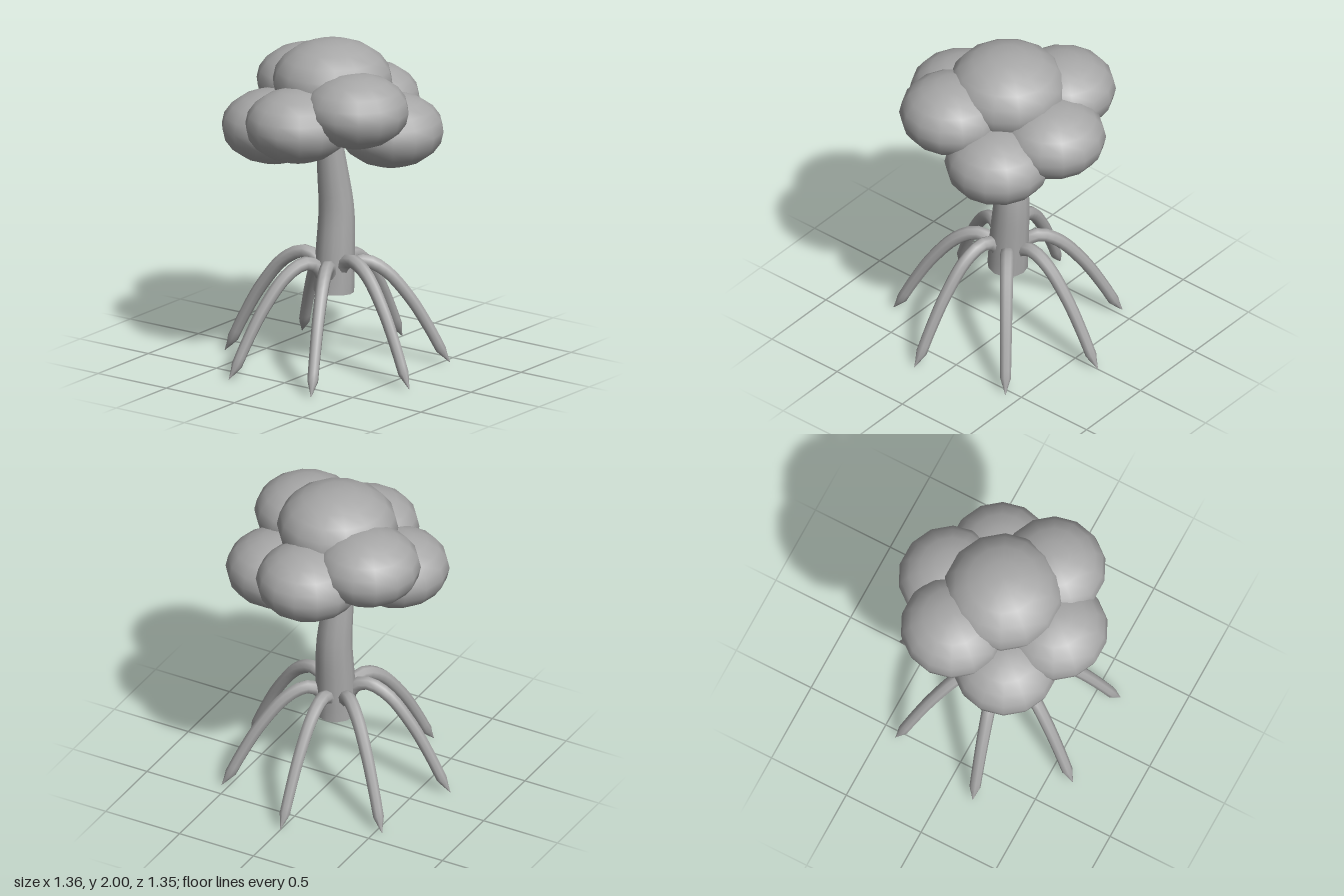
import * as THREE from 'three';
import { mergeVertices } from 'three/addons/utils/BufferGeometryUtils.js';

// Tube along a smooth curve; radius(t) sets its thickness from start (0) to end (1)
function taperedTube(points, steps, sides, radius) {
  const curve = new THREE.CatmullRomCurve3(points);
  const geo = new THREE.TubeGeometry(curve, steps, 1, sides);
  const pos = geo.attributes.position;
  const v = new THREE.Vector3();
  for (let i = 0; i < pos.count; i++) {
    const t = Math.floor(i / (sides + 1)) / steps;
    const c = curve.getPointAt(t);
    v.fromBufferAttribute(pos, i).sub(c).multiplyScalar(radius(t)).add(c);
    pos.setXYZ(i, v.x, v.y, v.z);
  }
  // weld the seam so that shading stays smooth all round
  geo.deleteAttribute('uv');
  geo.deleteAttribute('normal');
  const welded = mergeVertices(geo, 1e-5);
  welded.computeVertexNormals();
  return welded;
}

export function createModel() {
  const group = new THREE.Group();
  const grey = new THREE.MeshStandardMaterial({ color: 0xa8a8a8 });
  grey.name = 'plain grey';
  const centreZ = 0.02;

  const add = (name, geo, parent = group) => {
    const mesh = new THREE.Mesh(geo, grey);
    mesh.name = name;
    parent.add(mesh);
    return mesh;
  };

  // Canopy: a top lobe and a ring of six at three repeating heights
  const canopy = new THREE.Group();
  canopy.name = 'canopy';
  group.add(canopy);
  const lobe = (name, x, y, z, r) => {
    const mesh = add(name, new THREE.SphereGeometry(r, 14, 10), canopy);
    mesh.scale.y = 0.7;
    mesh.position.set(x, y, z);
  };
  lobe('topLobe', 0, 1.748, centreZ, 0.36);
  for (let i = 0; i < 6; i++) {
    const a = (i * 60 + 30) * Math.PI / 180;
    lobe('canopyLobe', Math.cos(a) * 0.348, 1.66 - 0.1 * (i % 3), centreZ + Math.sin(a) * 0.348, 0.315);
  }

  // Trunk: gently bent and tapering, closed below
  const trunkPoints = [
    [0.005, 0.45, 0.015], [0.005, 0.7, 0], [0.003, 0.95, -0.014], [-0.01, 1.2, 0.008], [-0.022, 1.5, 0.045],
  ].map(p => new THREE.Vector3(...p));
  add('trunk', taperedTube(trunkPoints, 14, 12, t => 0.121 - 0.043 * t * t - 0.01 * t));
  const base = add('trunkBase', new THREE.CircleGeometry(0.121, 12));
  base.position.copy(trunkPoints[0]);
  base.rotation.x = Math.PI / 2;

  // Roots: seven arched legs, evenly spaced, ending in points
  const profile = [
    [0.07, 0.55], [0.11, 0.61], [0.19, 0.635], [0.31, 0.575],
    [0.46, 0.4], [0.58, 0.2], [0.645, 0.075], [0.695, 0],
  ];
  const rootRadius = t => (t > 0.9 ? Math.max(0.001, 0.33 * (1 - t)) : 0.044 - 0.0122 * t);
  const lifts = [0, 0, 0.04, 0.01, 0.01, 0.04, 0];
  lifts.forEach((lift, k) => {
    const a = -Math.PI / 2 + k * 2 * Math.PI / 7;
    const points = profile.map(([r, y]) => new THREE.Vector3(
      Math.cos(a) * r,
      y + lift * Math.min(1, y / 0.55),
      centreZ + Math.sin(a) * r,
    ));
    add('root', taperedTube(points, 20, 8, rootRadius));
  });

  return group;
}
